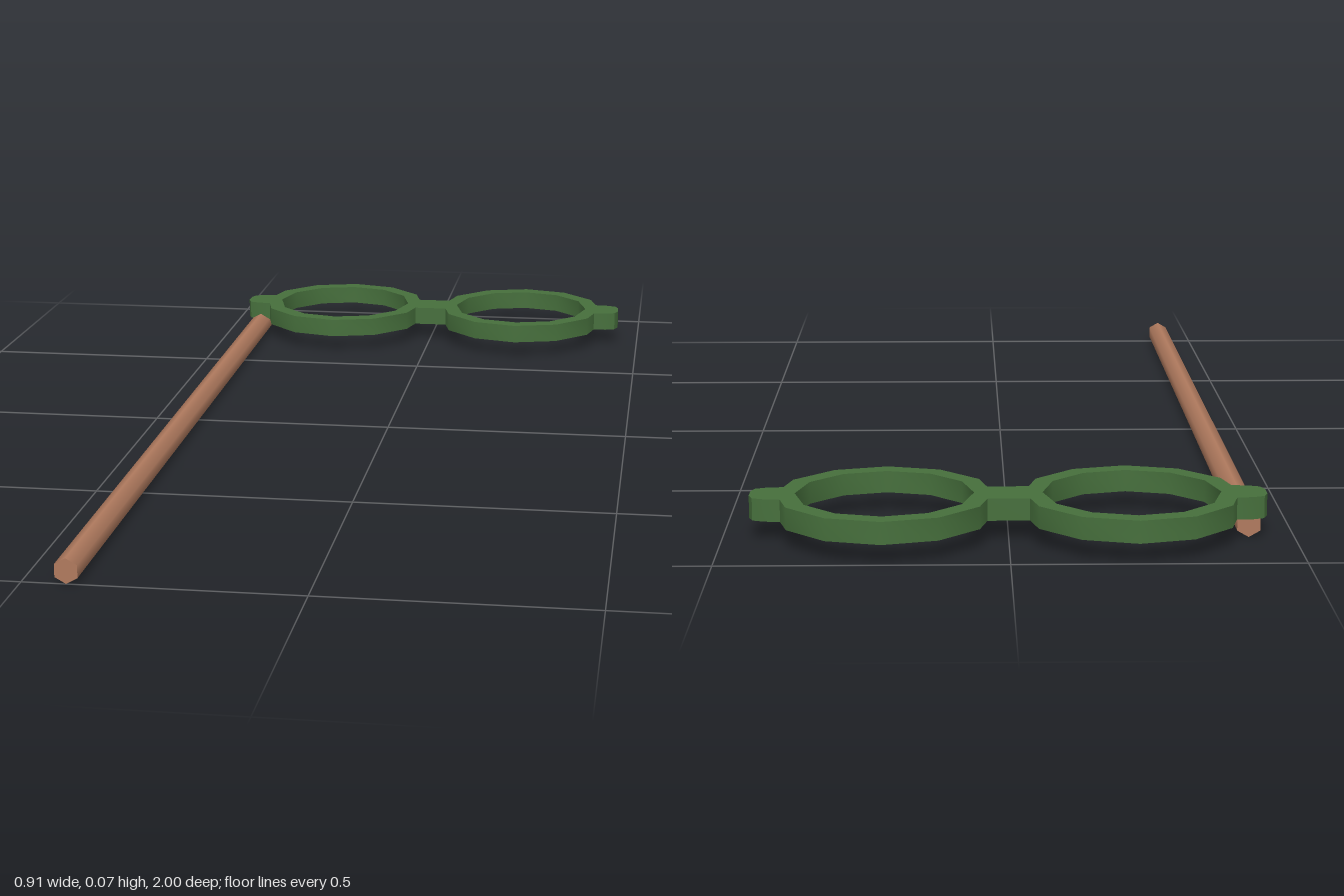
import * as THREE from 'three';
import { toCreasedNormals } from 'three/addons/utils/BufferGeometryUtils.js';

const RING_X = 0.217, OUTER = 0.192, INNER = 0.157, SIDES = 12;

// Point on a lens ring centred at (cx, 0)
function ringPoint(cx, r, k) {
  const a = (k / SIDES) * Math.PI * 2;
  return new THREE.Vector2(cx + r * Math.cos(a), r * Math.sin(a));
}

// One quarter of the rim outline, from the bridge to the side tab
function quarterOutline() {
  const pts = [new THREE.Vector2(0.037, 0.042)];
  for (let k = 5; k >= 1; k--) pts.push(ringPoint(RING_X, OUTER, k));
  pts.push(
    new THREE.Vector2(0.397, 0.043),
    new THREE.Vector2(0.425, 0.041),
    new THREE.Vector2(0.446, 0.033),
    new THREE.Vector2(0.453, 0.015)
  );
  return pts;
}

function frameGeometry() {
  // Mirror the quarter into a closed outline
  const q = quarterOutline();
  const mirror = (list, sx, sy) => list.map((p) => new THREE.Vector2(p.x * sx, p.y * sy));
  const back = [...q].reverse();
  const shape = new THREE.Shape([
    ...q,
    ...mirror(back, 1, -1),
    ...mirror(q, -1, -1),
    ...mirror(back, -1, 1),
  ]);

  // Open lens holes
  for (const s of [-1, 1]) {
    const hole = [];
    for (let k = 0; k < SIDES; k++) hole.push(ringPoint(s * RING_X, INNER, k));
    shape.holes.push(new THREE.Path(hole));
  }

  const geo = new THREE.ExtrudeGeometry(shape, { depth: 0.04, bevelEnabled: false });
  geo.rotateX(-Math.PI / 2);
  geo.translate(0, 0.035, -0.808);
  return toCreasedNormals(geo, 0.8);
}

export function createModel() {
  const green = new THREE.MeshStandardMaterial({ name: 'green frame', color: 0x466f3c });
  const wood = new THREE.MeshStandardMaterial({ name: 'brown wood', color: 0xb07a5e });
  const group = new THREE.Group();
  group.name = 'handheldGlasses';

  // Flat double-ring frame with bridge and side tabs
  const frame = new THREE.Mesh(frameGeometry(), green);
  frame.name = 'lensFrame';
  group.add(frame);

  // Long six-sided handle under the right tab
  const rod = new THREE.CylinderGeometry(0.0235, 0.0235, 1.838, 6);
  rod.rotateX(Math.PI / 2);
  rod.translate(-0.42, 0.0235, 0.081);
  const handle = new THREE.Mesh(rod, wood);
  handle.name = 'handle';
  group.add(handle);

  return group;
}
